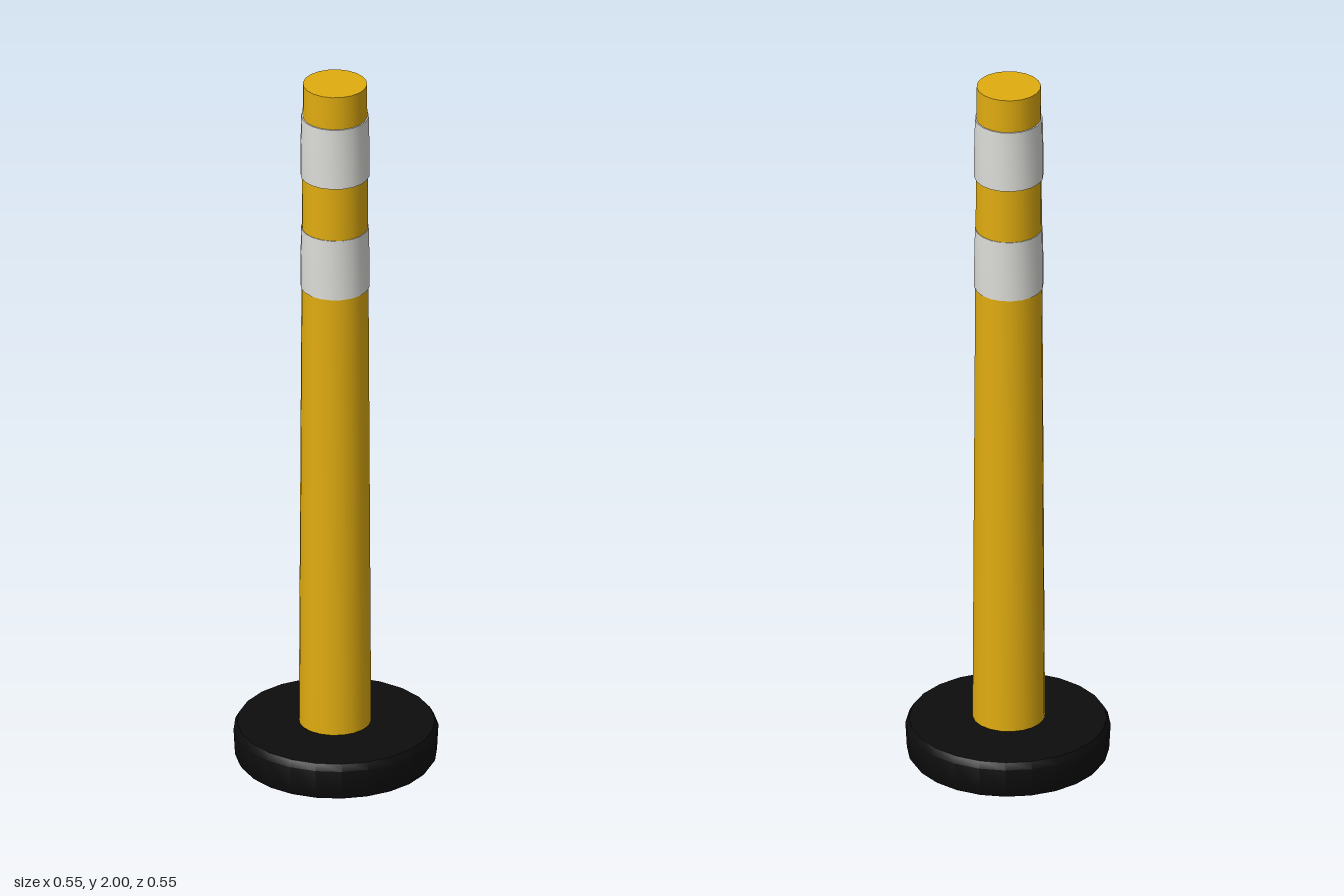
import * as THREE from 'three';
import { toCreasedNormals } from 'three/addons/utils/BufferGeometryUtils.js';

const paint = (name, color) => {
  const m = new THREE.MeshStandardMaterial({ color });
  m.name = name;
  return m;
};

// Turned part from [radius, height] pairs, bottom to top
function turned(name, profile, sides, material) {
  const points = profile.map(([r, y]) => new THREE.Vector2(r, y));
  const geometry = new THREE.LatheGeometry(points, sides, Math.PI / 2);
  const mesh = new THREE.Mesh(toCreasedNormals(geometry, 0.6), material);
  mesh.name = name;
  return mesh;
}

export function createModel() {
  const yellow = paint('yellow plastic', 0xe0ac10);
  const white = paint('reflective white', 0xdcdcd8);
  const black = paint('black rubber', 0x0d0d0d);
  const model = new THREE.Group();
  model.name = 'delineatorPost';

  // Weighted rubber foot with softened rims
  model.add(turned('base', [
    [0, 0], [0.262, 0], [0.27, 0.012], [0.274, 0.085], [0.264, 0.103], [0, 0.103],
  ], 24, black));

  // Slightly tapered tube, closed at both ends
  const post = new THREE.Group();
  post.name = 'post';
  post.position.x = -0.004;
  post.add(turned('tube', [
    [0, 0.103], [0.097, 0.108], [0.09, 1.4], [0.086, 2], [0, 2],
  ], 20, yellow));

  // Two reflective sleeves
  for (const [name, y] of [['lowerBand', 1.4], ['upperBand', 1.73]]) {
    post.add(turned(name, [
      [0.084, y], [0.0925, y], [0.0925, y + 0.09], [0.0905, y + 0.175], [0.084, y + 0.175],
    ], 20, white));
  }
  model.add(post);
  return model;
}
